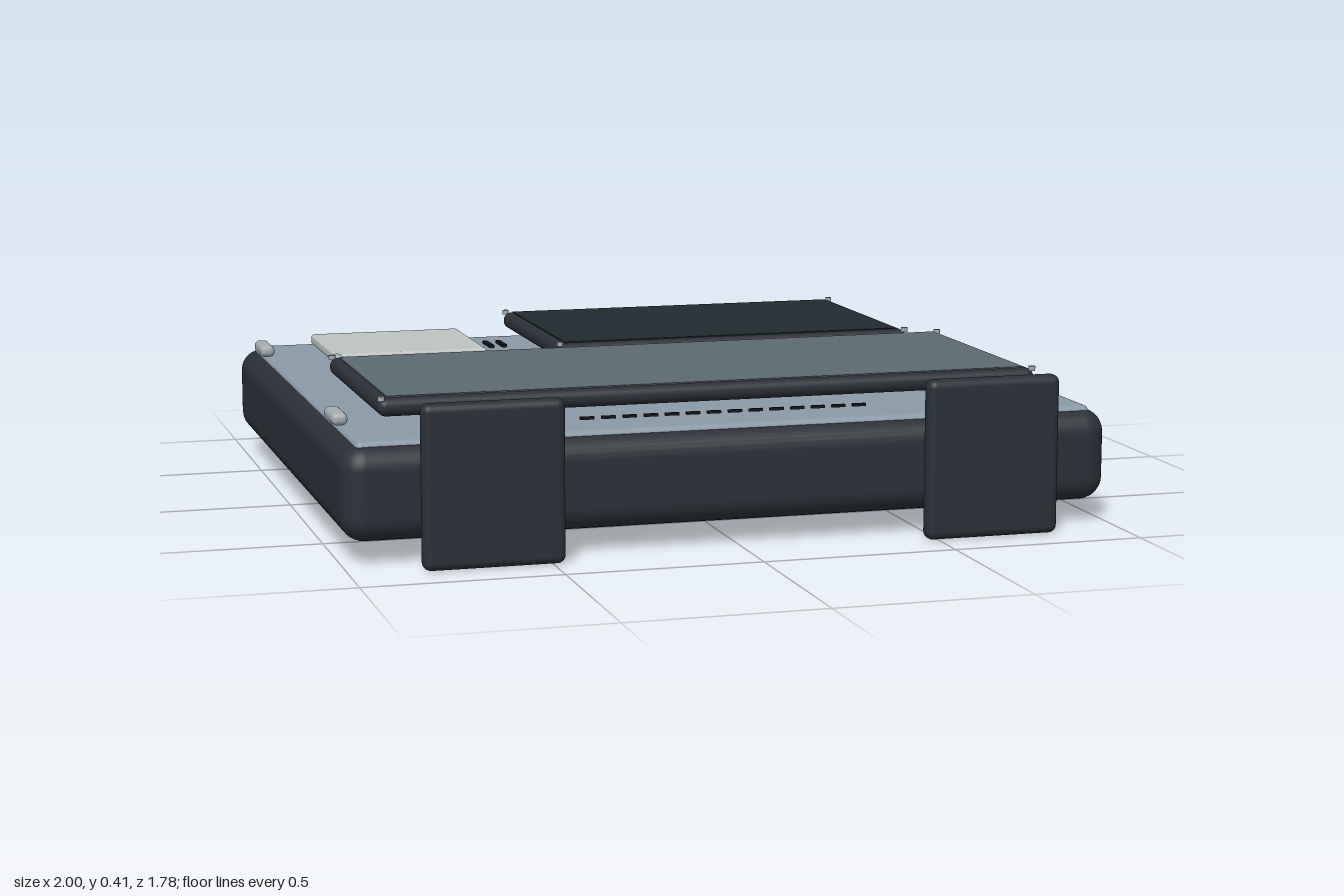
import * as THREE from 'three';
import { RoundedBoxGeometry } from 'three/addons/geometries/RoundedBoxGeometry.js';

const mat = (color) => new THREE.MeshStandardMaterial({ color });
const dark = mat(0x2b3038);
const black = mat(0x14171b);
const steel = mat(0x8b9aa8);
const silver = mat(0xa4acb0);
const cream = mat(0xbcc4c2);

export function createModel() {
  const group = new THREE.Group();

  // Adds a box given by its x, y and z limits, rounded when r > 0
  function box(name, material, [x0, x1], [y0, y1], [z0, z1], r = 0, parent = group) {
    const size = [x1 - x0, y1 - y0, z1 - z0];
    const geo = r ? new RoundedBoxGeometry(...size, 4, r) : new THREE.BoxGeometry(...size);
    const mesh = new THREE.Mesh(geo, material);
    mesh.name = name;
    mesh.position.set((x0 + x1) / 2, (y0 + y1) / 2, (z0 + z1) / 2);
    parent.add(mesh);
    return mesh;
  }

  // Case and its top plate
  box('body', dark, [-1, 1], [0.055, 0.293], [-0.89, 0.8], 0.06);
  box('topPlate', steel, [-0.96, 0.96], [0.27, 0.302], [-0.85, 0.76], 0.015);

  // Framed panel with an inset sheet and a screw at each corner
  function panel(name, [x0, x1], [z0, z1], color) {
    const part = new THREE.Group();
    part.name = name;
    group.add(part);
    box('panelFrame', dark, [x0, x1], [0.333, 0.38], [z0, z1], 0.022, part);
    const b = 0.025;
    box('panelSheet', mat(color), [x0 + b, x1 - b], [0.36, 0.383], [z0 + b, z1 - b], 0, part);
    for (const x of [x0 + 0.008, x1 - 0.008]) {
      for (const z of [z0 + 0.008, z1 - 0.008]) {
        const screw = new THREE.Mesh(new THREE.CylinderGeometry(0.009, 0.009, 0.012, 12), silver);
        screw.name = 'panelScrew';
        screw.position.set(x, 0.38, z);
        part.add(screw);
      }
    }
  }
  panel('frontPanel', [-0.875, 0.87], [-0.085, 0.615], 0x5d6a72);
  panel('backPanel', [-0.23, 0.795], [-0.8, -0.13], 0x202b30);

  // Pale pad and the small lever beside it
  box('pad', cream, [-0.835, -0.41], [0.337, 0.367], [-0.603, -0.21], 0.01);
  box('lever', silver, [-0.85, -0.824], [0.33, 0.375], [-0.18, -0.01], 0.01);

  // Vent slots
  for (let i = 0; i < 11; i++) {
    const x = -0.648 + i * 0.0383;
    box('ventSlot', black, [x - 0.007, x + 0.007], [0.298, 0.31], [-0.71, -0.62]);
  }

  // Row of front dashes
  for (let i = 0; i < 14; i++) {
    const x = -0.36 + i * 0.0552;
    box('frontDash', black, [x - 0.018, x + 0.018], [0.315, 0.322], [0.67, 0.68]);
  }

  // Side clips
  for (const z of [0.52, -0.62]) {
    box('sideClip', silver, [-0.985, -0.945], [0.312, 0.344], [z - 0.064, z + 0.064], 0.014);
  }

  // Front foot plates on angled brackets
  for (const s of [-1, 1]) {
    const x = s * 0.645;
    box('footPlate', dark, [x - 0.177, x + 0.177], [0, 0.408], [0.842, 0.892], 0.02);
    box('footBracket', silver, [x - 0.043, x + 0.043], [0.052, 0.22], [0.76, 0.85]);
    box('footRail', silver, [x - 0.043, x + 0.043], [0.05, 0.08], [0.5, 0.85]);
  }

  return group;
}
